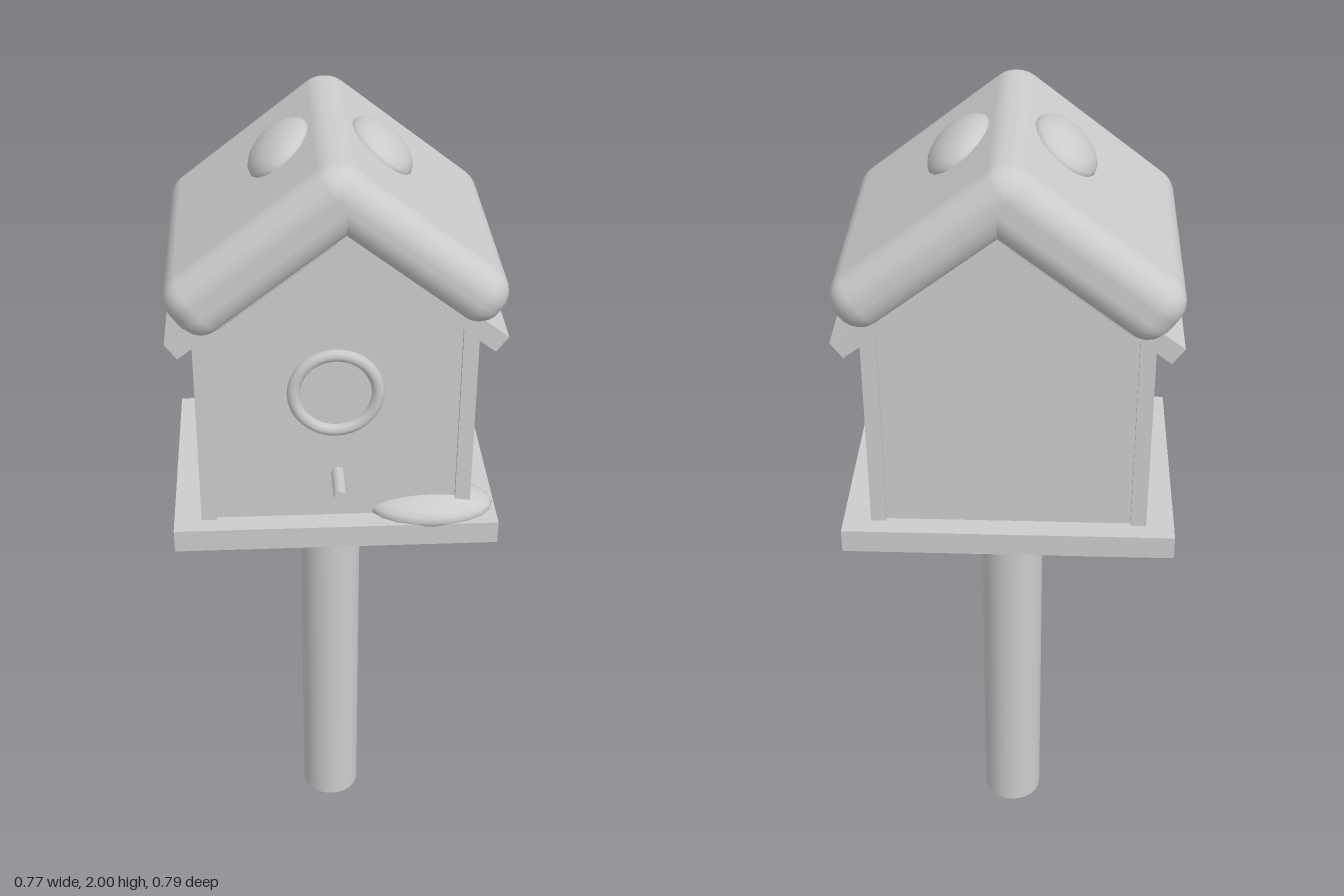
import * as THREE from 'three';
import { RoundedBoxGeometry } from 'three/addons/geometries/RoundedBoxGeometry.js';

const PITCH = Math.atan(0.757); // roof slope
const MID_Z = -0.058;           // house centre, set back so the perch fits in front

export function createModel() {
  const model = new THREE.Group();
  model.name = 'birdhouse';
  const grey = new THREE.MeshStandardMaterial({ color: 0xcccccc });
  grey.name = 'plain grey';

  function add(name, geometry, x, y, z, parent = model) {
    const mesh = new THREE.Mesh(geometry, grey);
    mesh.name = name;
    mesh.position.set(x, y, z);
    parent.add(mesh);
    return mesh;
  }

  // Pole and floor
  add('pole', new THREE.CylinderGeometry(0.077, 0.077, 1.06, 24), 0, 0.53, MID_Z);
  add('floorBoard', new THREE.BoxGeometry(0.77, 0.057, 0.626), 0, 1.083, MID_Z);

  // House body with gabled ends
  const gable = new THREE.Shape([
    [-0.307, 1.1], [0.307, 1.1], [0.307, 1.603], [0, 1.836], [-0.307, 1.603],
  ].map(([x, y]) => new THREE.Vector2(x, y)));
  const body = new THREE.ExtrudeGeometry(gable, { depth: 0.515, bevelEnabled: false });
  add('houseBody', body, 0, 0, MID_Z - 0.2575);

  // Corner posts
  for (const sx of [-1, 1]) {
    for (const sz of [-1, 1]) {
      add('cornerPost', new THREE.BoxGeometry(0.036, 0.502, 0.036),
        sx * 0.302, 1.357, MID_Z + sz * 0.25);
    }
  }

  // Roof boards, mitred at the ridge, seen from the front
  const dx = 0.045 * Math.sin(PITCH), dy = 0.045 * Math.cos(PITCH);
  const roof = new THREE.Shape([
    [0, 1.836], [0.35, 1.571], [0.35 + dx, 1.571 + dy], [0, 1.836 + 0.045 / Math.cos(PITCH)],
    [-0.35 - dx, 1.571 + dy], [-0.35, 1.571],
  ].map(([x, y]) => new THREE.Vector2(x, y)));
  add('roofBoards', new THREE.ExtrudeGeometry(roof, { depth: 0.626, bevelEnabled: false }),
    0, 0, MID_Z - 0.313);

  // Thick snow on each slope, with a flattened mound on top
  for (const side of [-1, 1]) {
    const slope = new THREE.Group();
    slope.name = side > 0 ? 'leftRoofSnow' : 'rightRoofSnow';
    slope.position.set(side * 0.156, 1.815, MID_Z);
    slope.rotation.z = -side * PITCH;
    model.add(slope);
    const thick = side > 0 ? 0.132 : 0.155;
    add('snowSlab', new RoundedBoxGeometry(0.512, thick, 0.672, 4, 0.062),
      0, 0.066 - thick / 2, 0, slope);
    const mound = add('snowMound', new THREE.SphereGeometry(1, 16, 10),
      side * -0.1, 0.061, 0, slope);
    mound.scale.set(0.085, 0.044, 0.12);
  }

  // Entrance ring
  const ring = add('entranceRing', new THREE.TorusGeometry(0.097, 0.015, 8, 32), 0, 1.445, 0.2);
  ring.scale.z = 0.9;

  // Perch peg
  const perch = add('perch', new THREE.CylinderGeometry(0.015, 0.015, 0.104, 8), 0, 1.29, 0.343);
  perch.rotation.x = Math.PI / 2;

  // Small snow drift on the floor corner
  const drift = add('floorSnow', new THREE.SphereGeometry(1, 20, 12), 0.23, 1.118, 0.172);
  drift.scale.set(0.15, 0.044, 0.088);

  return model;
}
